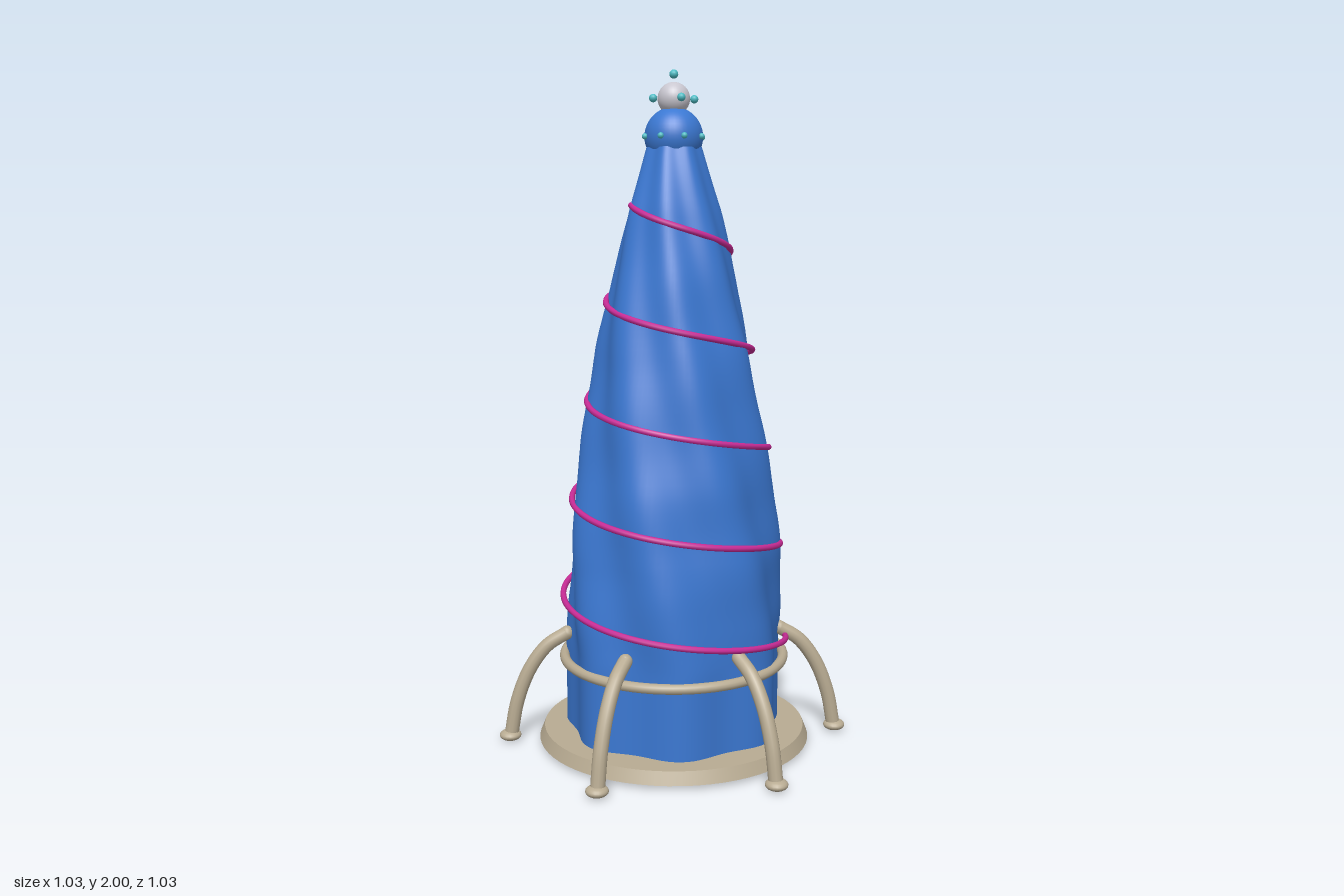
import * as THREE from 'three';

const mat = (name, color) => {
  const m = new THREE.MeshStandardMaterial({ color });
  m.name = name;
  return m;
};

// Piecewise linear lookup in [y, value] pairs
function lookup(table, y) {
  for (let i = 1; i < table.length; i++) {
    const [y0, a] = table[i - 1], [y1, b] = table[i];
    if (y <= y1) return a + (b - a) * THREE.MathUtils.clamp((y - y0) / (y1 - y0), 0, 1);
  }
  return table[table.length - 1][1];
}

// Mean radius of the tower by height
const PROFILE = [[0.04, 0.318], [0.4, 0.318], [0.6, 0.308], [0.8, 0.285], [1.0, 0.254],
  [1.2, 0.221], [1.4, 0.179], [1.6, 0.132], [1.78, 0.078]];

// Seven soft folds, upright at the foot and twisting above it
function towerGeometry() {
  const rows = 70, cols = 112, pos = [], index = [];
  for (let i = 0; i <= rows; i++) {
    const y = 0.04 + 1.74 * i / rows;
    const twist = Math.max(0, y - 0.3) * 0.9;
    for (let j = 0; j < cols; j++) {
      const t = j / cols * Math.PI * 2;
      const fold = 0.045 * Math.cos(7 * (t - twist - 0.05));
      const wave = 0.008 * Math.sin(y * 21 + 2 * t) * Math.min(1, Math.max(0, (y - 0.3) * 4));
      const r = lookup(PROFILE, y) * (1 + fold + wave);
      pos.push(r * Math.cos(t), y, r * Math.sin(t));
      if (i < rows) {
        const k = (j + 1) % cols;
        const a = i * cols + j, b = a + cols, c = i * cols + k, d = c + cols;
        index.push(a, b, c, b, d, c);
      }
    }
  }
  const g = new THREE.BufferGeometry();
  g.setAttribute('position', new THREE.Float32BufferAttribute(pos, 3));
  g.setIndex(index);
  g.computeVertexNormals();
  return g;
}

export function createModel() {
  const model = new THREE.Group();
  model.name = 'spiralTower';
  const blue = mat('blue', 0x3b78d2);
  const stone = mat('stone', 0xb8ab92);
  const magenta = mat('magenta', 0xc82c96);
  const pearl = mat('pearl', 0xc9c7d0);
  const teal = mat('teal', 0x4ebcc4);

  const add = (name, geometry, material, x = 0, y = 0, z = 0, parent = model) => {
    const m = new THREE.Mesh(geometry, material);
    m.name = name;
    m.position.set(x, y, z);
    parent.add(m);
    return m;
  };

  // Base and tower
  add('base', new THREE.CylinderGeometry(0.395, 0.41, 0.037, 64), stone, 0, 0.0305, 0);
  add('tower', towerGeometry(), blue);
  add('collarRing', new THREE.TorusGeometry(0.332, 0.015, 12, 72), stone, 0, 0.265, 0).rotation.x = Math.PI / 2;

  // Rising spiral cord
  const cordRadius = [[0.3, 0.341], [0.45, 0.335], [0.6, 0.322], [0.74, 0.307], [0.89, 0.285],
    [1.03, 0.26], [1.18, 0.235], [1.32, 0.203], [1.47, 0.17], [1.62, 0.13]];
  const cord = [];
  for (let i = 0; i <= 180; i++) {
    const t = i / 180 * Math.PI * 9, y = 0.3 + 1.315 * i / 180;
    const r = lookup(cordRadius, y);
    cord.push(new THREE.Vector3(r * Math.cos(t), y, r * Math.sin(t)));
  }
  add('spiralCord', new THREE.TubeGeometry(new THREE.CatmullRomCurve3(cord), 540, 0.009, 8), magenta);

  // Six curved legs with round feet
  const legCurve = new THREE.CatmullRomCurve3([[0.325, 0.335], [0.385, 0.297], [0.438, 0.225],
    [0.477, 0.125], [0.497, 0.02]].map(([x, y]) => new THREE.Vector3(x, y, 0)));
  const legGeo = new THREE.TubeGeometry(legCurve, 24, 0.021, 12);
  const footGeo = new THREE.SphereGeometry(0.033, 20, 12);
  footGeo.scale(1, 0.5, 1);
  for (let i = 0; i < 6; i++) {
    const leg = new THREE.Group();
    leg.name = 'leg';
    leg.rotation.y = -(Math.PI / 12 + i * Math.PI / 3);
    add('legTube', legGeo, stone, 0, 0, 0, leg);
    add('legTip', new THREE.SphereGeometry(0.021, 12, 8), stone, 0.325, 0.335, 0, leg);
    add('foot', footGeo, stone, 0.5, 0.0175, 0, leg);
    model.add(leg);
  }

  // Finial balls with rings of beads
  add('finialBall', new THREE.SphereGeometry(0.085, 40, 24), blue, 0, 1.81, 0);
  add('pearlBall', new THREE.SphereGeometry(0.047, 32, 20), pearl, 0, 1.918, 0);
  const beads = (name, count, ring, y, size) => {
    for (let i = 0; i < count; i++) {
      const t = i / count * Math.PI * 2;
      add(name, new THREE.SphereGeometry(size, 14, 10), teal, ring * Math.cos(t), y, ring * Math.sin(t));
    }
  };
  beads('lowerBead', 8, 0.088, 1.81, 0.009);
  beads('upperBead', 4, 0.063, 1.918, 0.012);
  beads('topBead', 1, 0, 1.987, 0.013);
  return model;
}
